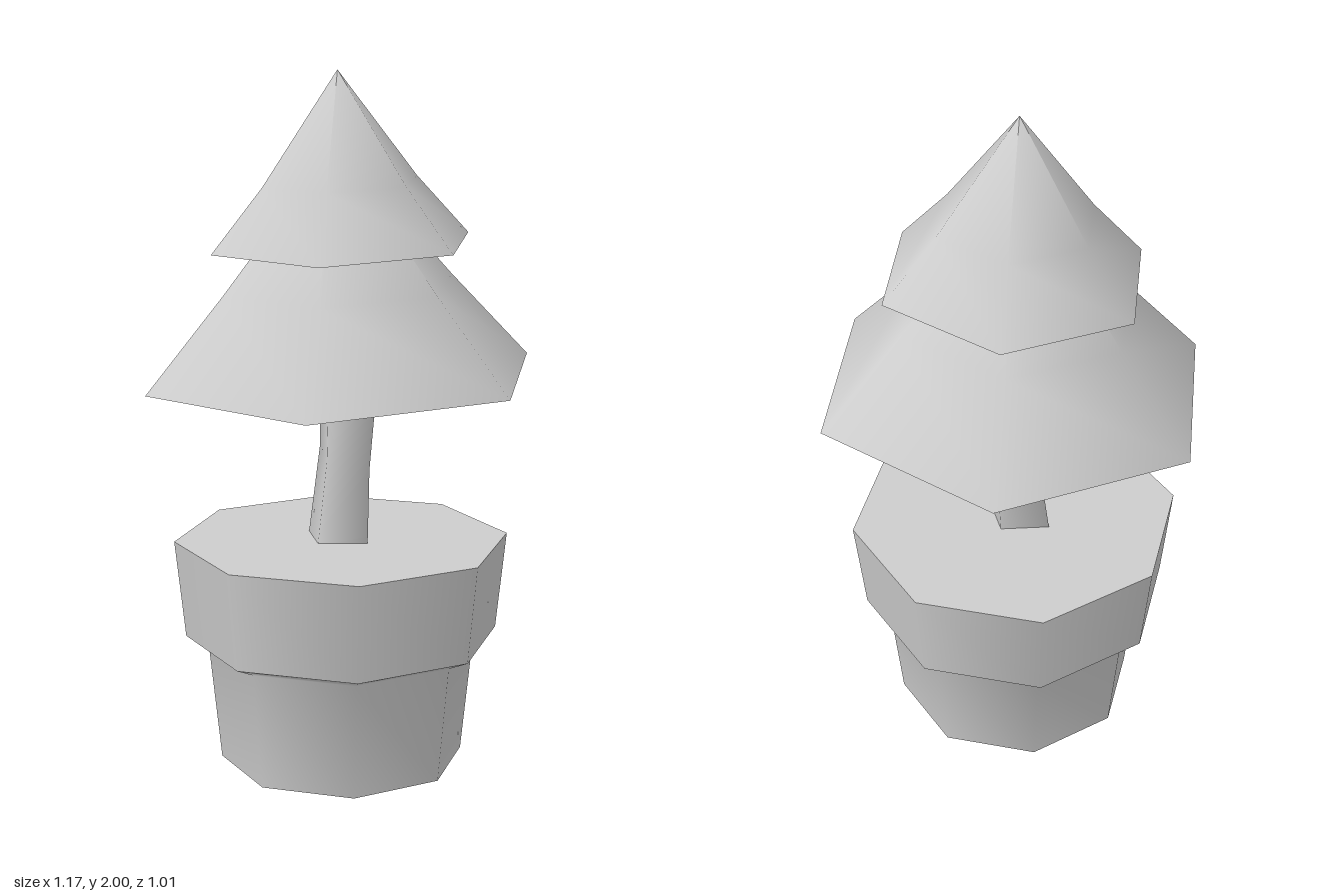
import * as THREE from 'three';
import { mergeVertices } from 'three/addons/utils/BufferGeometryUtils.js';

export function createModel() {
  const model = new THREE.Group();
  const clay = new THREE.MeshStandardMaterial({ color: 0xcccccc, side: THREE.DoubleSide });
  clay.name = 'plain grey';

  function add(name, geometry, x = 0, y = 0, z = 0) {
    const mesh = new THREE.Mesh(geometry, clay);
    mesh.name = name;
    mesh.position.set(x, y, z);
    model.add(mesh);
    return mesh;
  }
  // Surface of revolution from [radius, height] pairs, listed bottom to top
  const turned = (profile, sides, start = 0) =>
    new THREE.LatheGeometry(profile.map(([r, y]) => new THREE.Vector2(r, y)), sides, start);

  // Eight-sided pot: open-bottomed body flaring under the lip, then rim and soil
  add('potBody', turned([[0.355, 0], [0.39, 0.345], [0.455, 0.375]], 8), 0.01, 0, 0.015);
  add('potRim', turned([[0.455, 0.375], [0.485, 0.66]], 8), 0.01, 0, 0.015);
  add('soil', turned([[0.485, 0.66], [0, 0.66]], 8), 0.01, 0, 0.015);

  // Four-sided trunk that pinches, leans back and has a tilted middle ring
  const rings = [
    { y: 0.66, z: 0.02, rx: 0.11, rz: 0.09, tilt: 0 },
    { y: 0.895, z: -0.01, rx: 0.092, rz: 0.08, tilt: -0.28 },
    { y: 1.39, z: -0.045, rx: 0.12, rz: 0.095, tilt: 0 },
  ];
  const trunk = new THREE.CylinderGeometry(1, 1, 2, 4, 2, true);
  const p = trunk.attributes.position;
  for (let i = 0; i < p.count; i++) {
    const ring = rings[Math.round(p.getY(i)) + 1];
    const x = p.getX(i) * ring.rx;
    p.setXYZ(i, x, ring.y + x * ring.tilt, ring.z + p.getZ(i) * ring.rz);
  }
  trunk.deleteAttribute('uv');
  trunk.deleteAttribute('normal');
  const smoothTrunk = mergeVertices(trunk);
  smoothTrunk.computeVertexNormals();
  add('trunk', smoothTrunk);

  // Hollow six-sided foliage tiers, tipped slightly forward
  const tiers = [
    ['lowerFoliage', 1.14, [[0.583, 0], [0.345, 0.26], [0, 0.66]]],
    ['upperFoliage', 1.515, [[0.388, 0], [0.232, 0.175], [0, 0.485]]],
  ];
  for (const [name, y, profile] of tiers) {
    add(name, turned(profile, 6, Math.PI / 2), 0, y, 0).rotation.x = 0.045;
  }
  return model;
}
